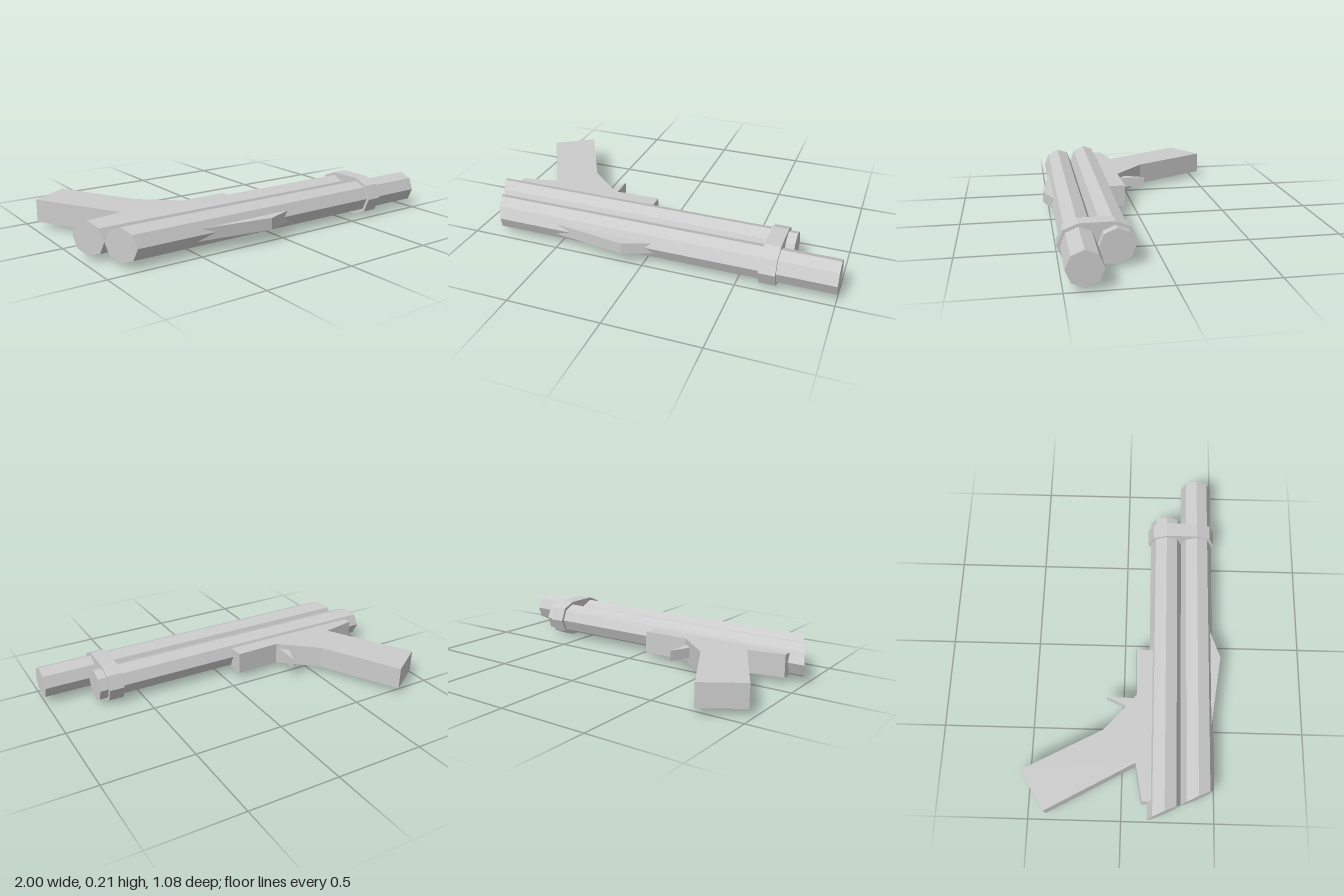
import * as THREE from 'three';

const material = new THREE.MeshStandardMaterial({ color: 0xcccccc, flatShading: true });
const MID_Y = 0.106; // height of the symmetry plane

function addMesh(group, name, geometry) {
  const mesh = new THREE.Mesh(geometry, material);
  mesh.name = name;
  group.add(mesh);
  return mesh;
}

function extrude(points, depth) {
  const shape = new THREE.Shape(points.map(([a, b]) => new THREE.Vector2(a, b)));
  return new THREE.ExtrudeGeometry(shape, { depth, bevelEnabled: false });
}

// Plate drawn in the x/z plane, spanning yMin to yMax
function plate(points, yMin, yMax) {
  return extrude(points, yMax - yMin).rotateX(Math.PI / 2).translate(0, yMax, 0);
}

// Octagonal tube along x; its rear end is cut along a slanted plane
function barrel(z, frontX) {
  const geometry = new THREE.CylinderGeometry(0.0885, 0.0885, 1, 8);
  geometry.rotateZ(-Math.PI / 2).translate(0, MID_Y + 0.001, z);
  const p = geometry.attributes.position;
  for (let i = 0; i < p.count; i++) {
    p.setX(i, p.getX(i) > 0 ? frontX : -1 + (p.getZ(i) - 0.137) * 0.455);
  }
  geometry.computeVertexNormals();
  return geometry;
}

export function createModel() {
  const group = new THREE.Group();
  group.name = 'pistol';

  // Two stacked barrels of different length
  addMesh(group, 'lowerBarrel', barrel(0.2255, 0.75));
  addMesh(group, 'upperBarrel', barrel(0.4025, 1));

  // Band clamping both barrels: two half octagons joined by straight sides
  const outline = [];
  for (let i = 0; i < 10; i++) {
    const upper = i < 5;
    const angle = Math.PI / 2 + (upper ? i : i - 1) * Math.PI / 4;
    outline.push([(upper ? -0.4025 : -0.2255) + 0.106 * Math.cos(angle), MID_Y + 0.106 * Math.sin(angle)]);
  }
  addMesh(group, 'barrelBand', extrude(outline, 0.085).rotateY(Math.PI / 2).translate(0.617, 0, 0));

  // Frame and raked grip in one slab
  addMesh(group, 'gripFrame', plate([
    [-0.91, 0.155], [-0.91, 0.107], [-0.71, 0.071], [-0.972, -0.403], [-0.765, -0.54],
    [-0.535, -0.105], [-0.335, 0.071], [-0.075, 0.064], [-0.075, 0.155],
  ], 0.033, 0.157));

  addMesh(group, 'trigger', plate([[-0.395, 0.02], [-0.345, -0.096], [-0.348, 0.075], [-0.38, 0.06]], 0.068, 0.126));

  // Low wedge on the upper barrel
  addMesh(group, 'sight', plate([[-0.63, 0.46], [-0.1, 0.535], [0.1, 0.46]], 0.073, 0.135));

  return group;
}
